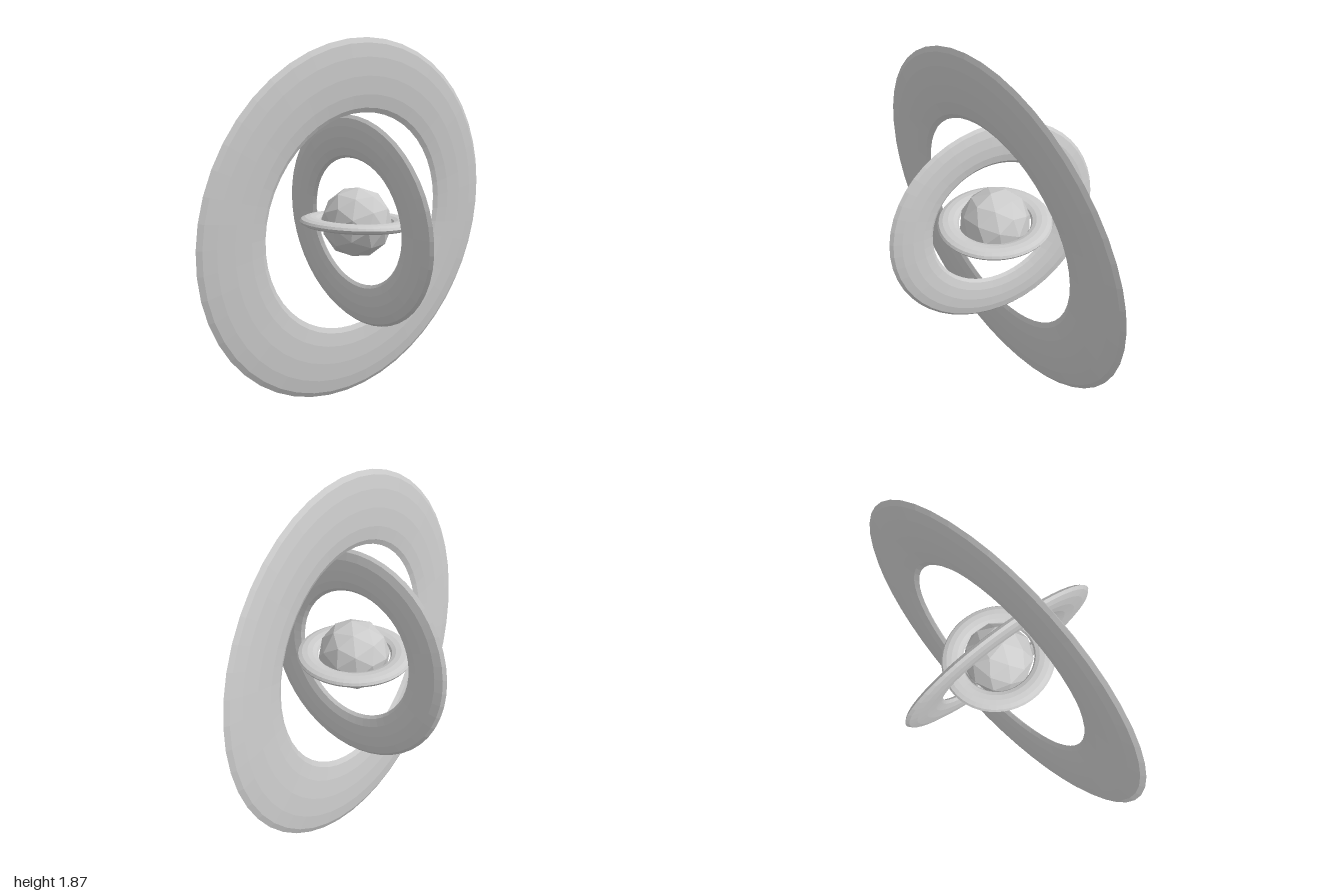
import * as THREE from 'three';

const CENTRE_Y = 0.938;
const material = new THREE.MeshStandardMaterial({ color: 0xcccccc, flatShading: true });

// Flattened, slightly oval torus lying in the xy plane; depth is its half thickness.
function ringGeometry(outer, inner, oval, depth) {
  const tube = (outer - inner) / 2;
  const geometry = new THREE.TorusGeometry(outer - tube, tube, 12, 48);
  return geometry.scale(1, oval, depth / tube);
}

export function createModel() {
  const group = new THREE.Group();

  function add(name, geometry, tiltX, tiltY, tiltZ) {
    const mesh = new THREE.Mesh(geometry, material);
    mesh.name = name;
    mesh.position.y = CENTRE_Y;
    mesh.rotation.set(tiltX, tiltY, tiltZ);
    group.add(mesh);
  }

  // Faceted core
  add('core', new THREE.IcosahedronGeometry(0.185, 1), 0.05, 0.1, -0.12);

  // Three nested rings, each near one of the main planes
  add('innerRing', ringGeometry(0.303, 0.19, 0.95, 0.025).rotateX(Math.PI / 2), -0.04, 0, 0);
  add('middleRing', ringGeometry(0.588, 0.355, 0.948, 0.028), 0.097, -0.125, 0);
  add('outerRing', ringGeometry(1, 0.605, 0.938, 0.027).rotateY(Math.PI / 2), 0, 0, -0.08);

  return group;
}
